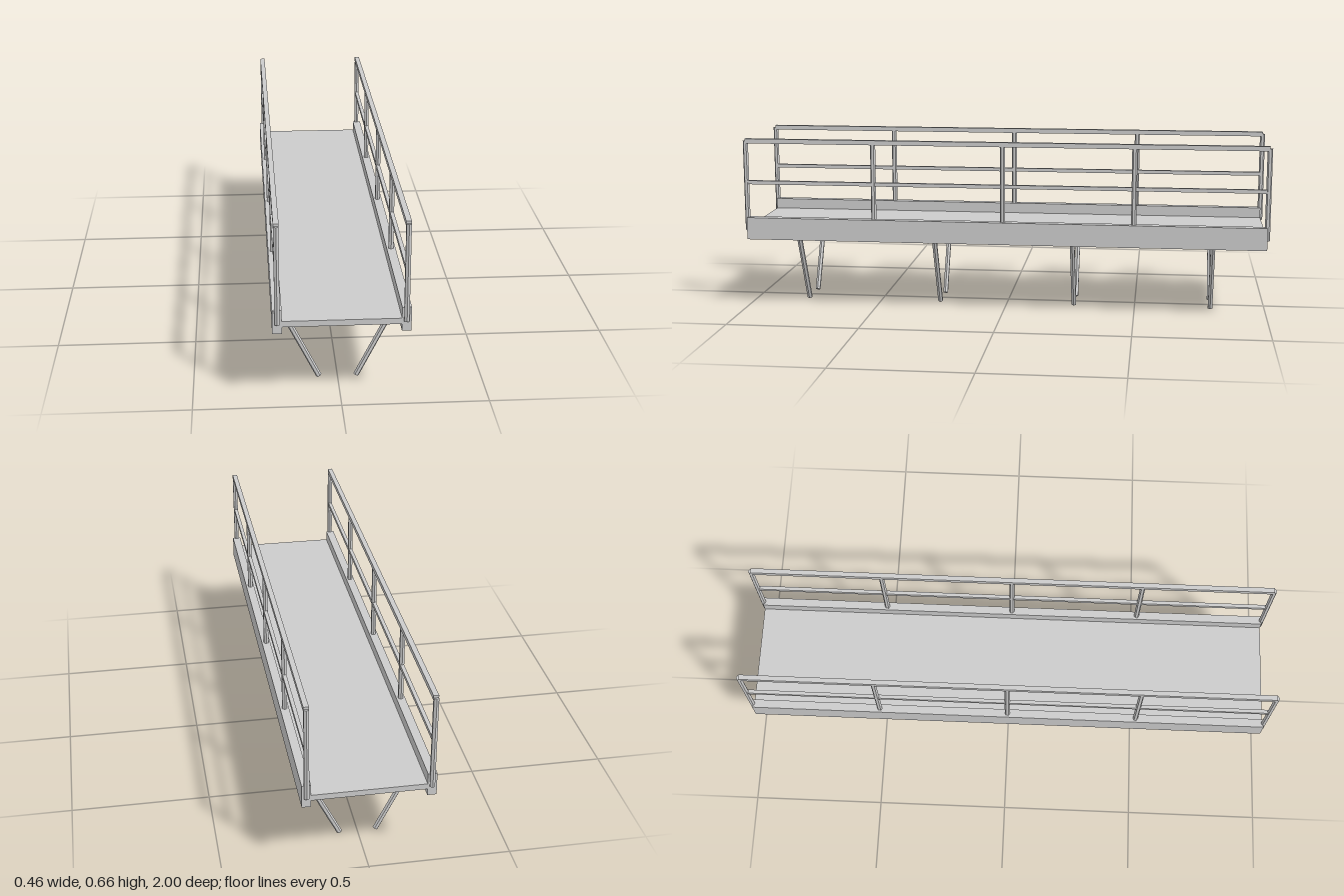
import * as THREE from 'three';

const material = new THREE.MeshStandardMaterial({ color: 0xcccccc, flatShading: true });
const LENGTH = 1.98;
const RAIL_X = 0.2135;
const BAR_R = 0.01;

function add(parent, name, geometry, x, y, z) {
  const mesh = new THREE.Mesh(geometry, material);
  mesh.name = name;
  mesh.position.set(x, y, z);
  parent.add(mesh);
  return mesh;
}

export function createModel() {
  const model = new THREE.Group();
  model.name = 'footbridge';

  // walking deck
  add(model, 'deck', new THREE.BoxGeometry(0.4, 0.021, LENGTH), 0, 0.303, 0);

  // shared shapes: hexagonal bars for posts and legs, square bars for rails
  const beam = new THREE.BoxGeometry(0.032, 0.085, LENGTH);
  const topRail = new THREE.BoxGeometry(0.0187, 0.0175, LENGTH);
  const midRail = new THREE.BoxGeometry(0.014, 0.014, LENGTH);
  const post = new THREE.CylinderGeometry(BAR_R, BAR_R, 0.346, 6);
  const foot = new THREE.Vector2(0.065, 0.0045);
  const head = new THREE.Vector2(0.207, 0.2885);
  const legSpan = head.clone().sub(foot);
  const leg = new THREE.CylinderGeometry(BAR_R, BAR_R, legSpan.length(), 6).rotateY(Math.PI / 2);
  const tilt = Math.atan2(legSpan.x, legSpan.y);

  for (const side of [1, -1]) {
    const label = side > 0 ? 'left' : 'right';
    const half = new THREE.Group();
    half.name = `${label}Side`;
    model.add(half);

    // edge beam and handrails
    add(half, `${label}Beam`, beam, side * 0.214, 0.3105, 0);
    add(half, `${label}TopRail`, topRail, side * RAIL_X, 0.649, 0);
    add(half, `${label}MidRail`, midRail, side * RAIL_X, 0.489, 0);

    // railing posts
    for (let i = 0; i < 5; i++) {
      add(half, `${label}Post${i + 1}`, post, side * RAIL_X, 0.476, (i - 2) * 0.495);
    }

    // legs slanting inward to the ground
    for (let i = 0; i < 4; i++) {
      const mesh = add(half, `${label}Leg${i + 1}`, leg,
        side * (foot.x + head.x) / 2, (foot.y + head.y) / 2, (i - 1.5) * 0.528);
      mesh.rotation.z = -side * tilt;
    }
  }
  return model;
}
